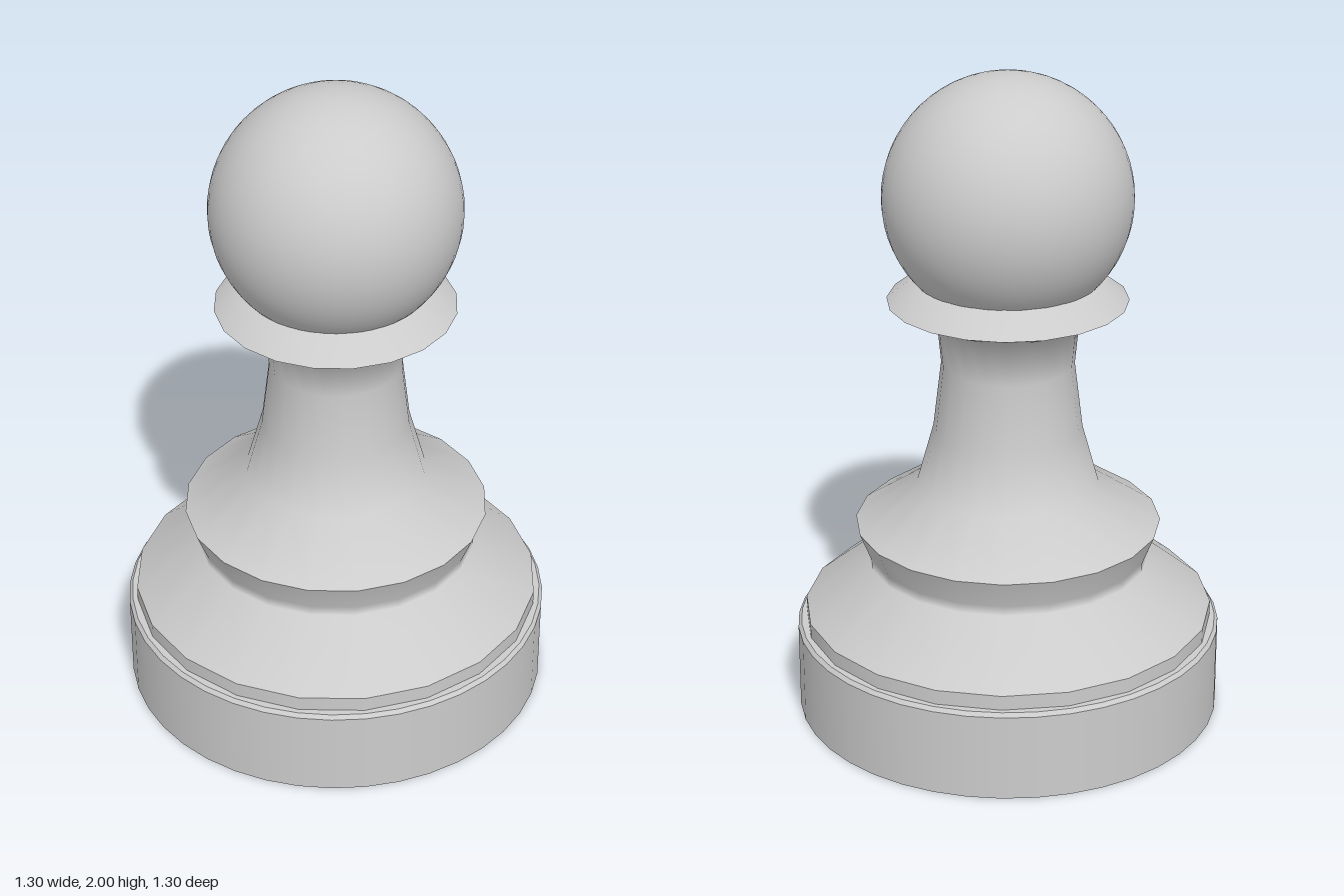
import * as THREE from 'three';

const material = new THREE.MeshStandardMaterial({ color: 0xcccccc });

// Turned section from [radius, height] points, bottom to top; smooth within the section
function turned(name, sides, points) {
  const profile = points.map(([r, y]) => new THREE.Vector2(r, y));
  const mesh = new THREE.Mesh(new THREE.LatheGeometry(profile, sides), material);
  mesh.name = name;
  return mesh;
}

export function createModel() {
  const model = new THREE.Group();
  model.name = 'pawn';

  // Plinth: flat underside, straight wall, small bevel, flat top
  const plinth = new THREE.Group();
  plinth.name = 'plinth';
  plinth.add(
    turned('plinthUnderside', 40, [[0, 0], [0.65, 0]]),
    turned('plinthWall', 40, [[0.65, 0], [0.65, 0.268]]),
    turned('plinthBevel', 40, [[0.65, 0.268], [0.64, 0.28]]),
    turned('plinthTop', 40, [[0.64, 0.28], [0.4, 0.28]])
  );

  // Body: separate sections meet at the sharp edges
  const body = new THREE.Group();
  body.name = 'body';
  body.add(
    turned('footRim', 20, [[0.625, 0.275], [0.625, 0.325]]),
    turned('footSlope', 20, [[0.625, 0.325], [0.43, 0.485], [0.43, 0.515], [0.465, 0.603]]),
    turned('stem', 20, [[0.465, 0.603], [0.275, 0.73], [0.225, 0.91], [0.2, 1.115], [0.213, 1.255], [0.36, 1.317]]),
    turned('collarTop', 20, [[0.36, 1.317], [0.272, 1.385], [0.2, 1.385]])
  );

  // Head
  const head = new THREE.Mesh(new THREE.SphereGeometry(0.37, 48, 32), material);
  head.name = 'head';
  head.position.y = 1.63;

  model.add(plinth, body, head);
  return model;
}
